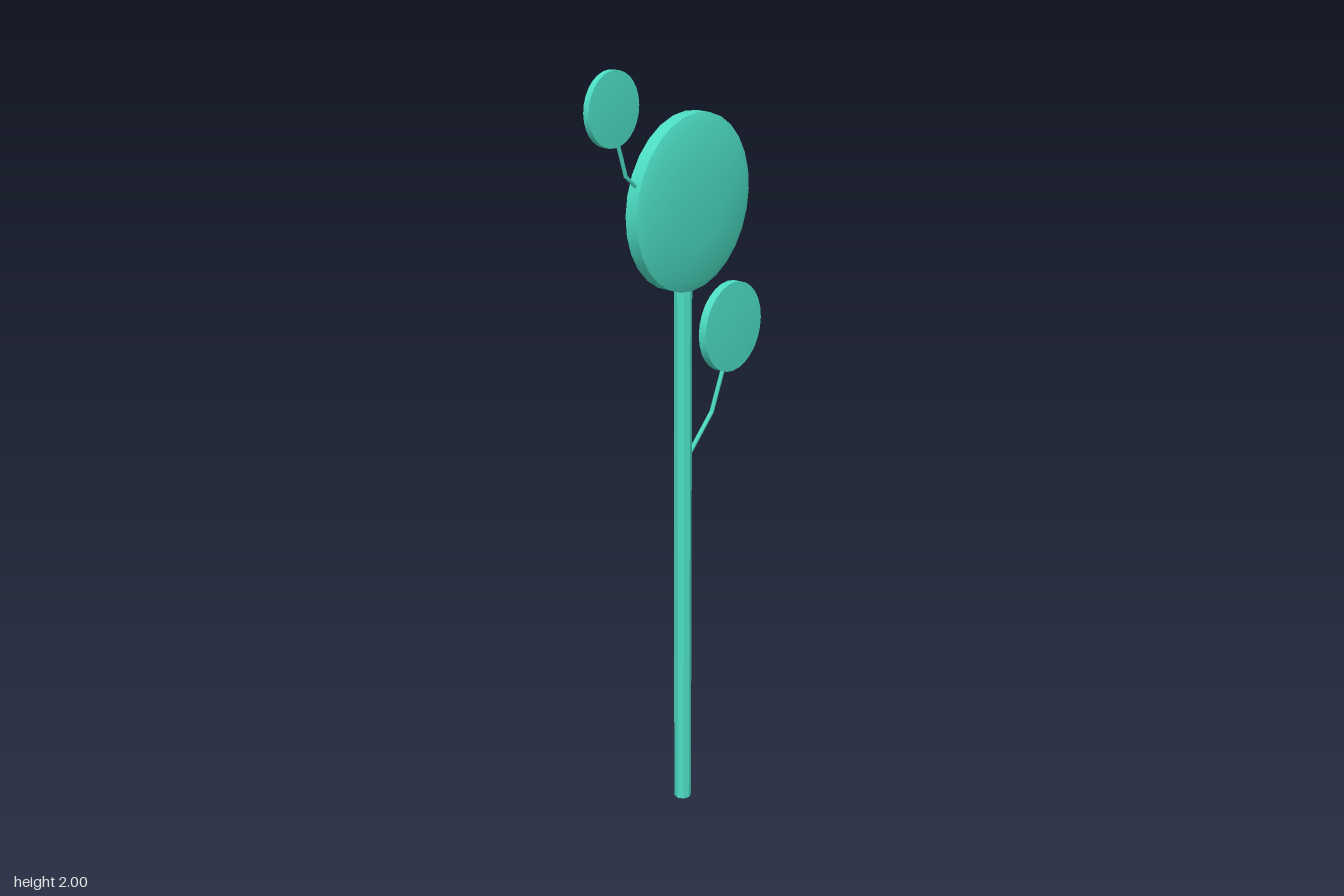
import * as THREE from 'three';
import { toCreasedNormals } from 'three/addons/utils/BufferGeometryUtils.js';

export function createModel() {
  const model = new THREE.Group();
  const teal = new THREE.MeshStandardMaterial({ color: 0x4bdcc2 });
  teal.name = 'teal';

  function add(name, geometry, parent = model) {
    const mesh = new THREE.Mesh(geometry, teal);
    mesh.name = name;
    parent.add(mesh);
    return mesh;
  }

  // Leaf pad: a shallow domed disc facing sideways; profile is [radius, x]
  function leafPad(name, profile, center, lean) {
    const points = profile.map(([r, x]) => new THREE.Vector2(r, x));
    const geometry = new THREE.LatheGeometry(points, 28);
    geometry.rotateZ(-Math.PI / 2);
    const pad = add(name, toCreasedNormals(geometry, 0.5));
    pad.position.set(...center);
    pad.rotation.z = lean;
  }

  leafPad('largeLeaf',
    [[0, -0.035], [0.11, -0.028], [0.22, -0.018], [0.22, 0.016], [0.195, 0.026], [0.1, 0.034], [0, 0.039]],
    [0, 1.65, -0.04], -0.025);
  leafPad('upperLeaf',
    [[0, -0.014], [0.088, -0.008], [0.088, 0.008], [0, 0.014]],
    [0.006, 1.913, 0.253], 0);
  leafPad('lowerLeaf',
    [[0, -0.018], [0.118, -0.011], [0.118, 0.011], [0, 0.018]],
    [-0.009, 1.295, -0.222], 0);

  // Trunk
  const trunk = add('trunk', toCreasedNormals(new THREE.CylinderGeometry(0.023, 0.023, 1.475, 8), 0.5));
  trunk.position.set(-0.017, 0.7375, -0.036);

  // Branches: thin rods joined at a bend
  function branch(name, points, radius) {
    const group = new THREE.Group();
    group.name = name;
    const up = new THREE.Vector3(0, 1, 0);
    for (let i = 0; i < points.length - 1; i++) {
      const a = new THREE.Vector3(...points[i]);
      const b = new THREE.Vector3(...points[i + 1]);
      const dir = b.clone().sub(a);
      const rod = add(name + 'Rod', new THREE.CylinderGeometry(radius, radius, dir.length() + radius * 0.6, 6), group);
      rod.position.copy(a).add(b).multiplyScalar(0.5);
      rod.quaternion.setFromUnitVectors(up, dir.normalize());
    }
    model.add(group);
  }

  branch('upperBranch', [[0, 1.71, 0.15], [0.001, 1.75, 0.2], [0.005, 1.84, 0.235]], 0.005);
  branch('lowerBranch', [[-0.016, 0.975, -0.045], [-0.014, 1.08, -0.152], [-0.009, 1.19, -0.193]], 0.006);

  return model;
}
